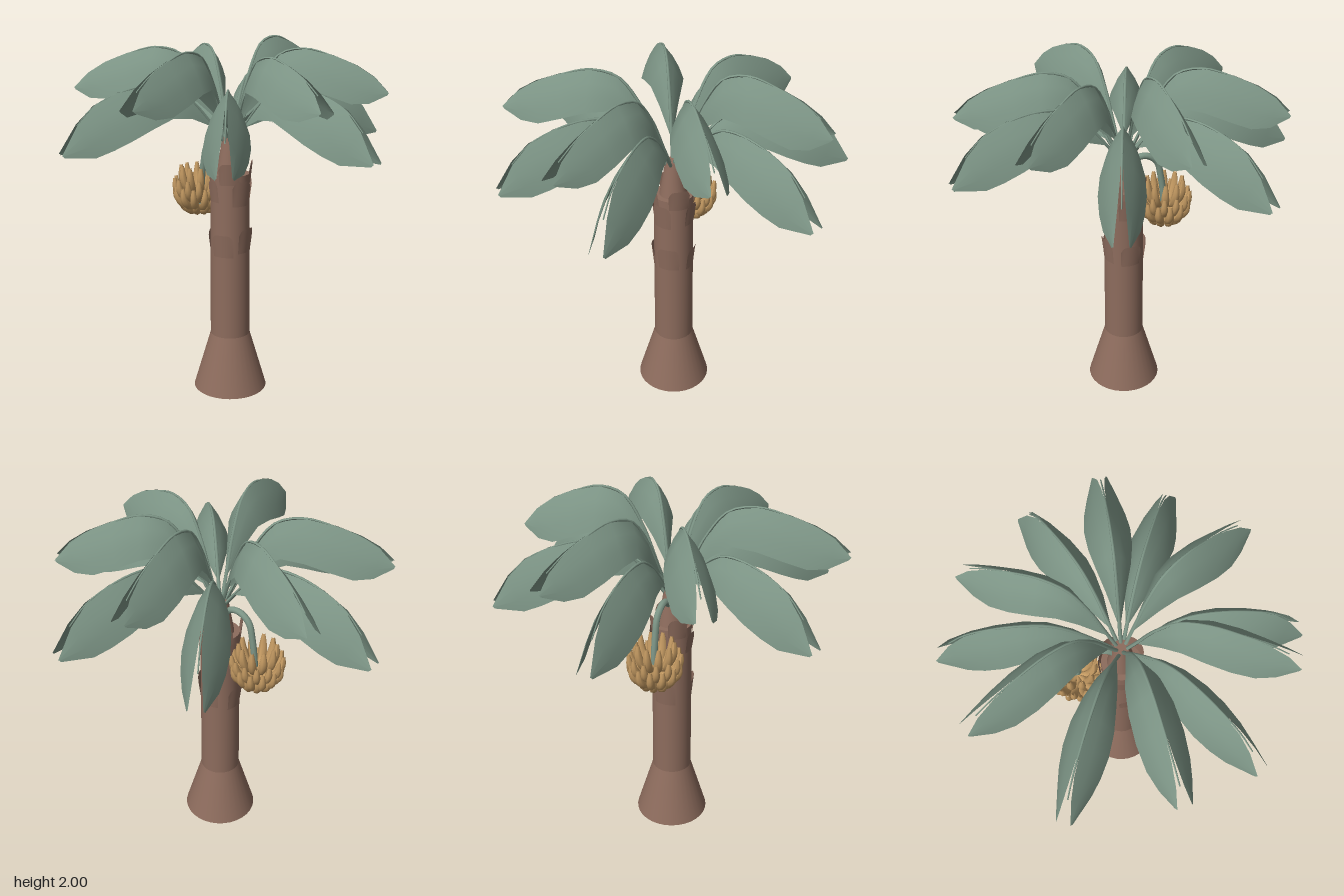
import * as THREE from 'three';

const mat = (name, color, extra = {}) => {
  const m = new THREE.MeshStandardMaterial({ color, ...extra });
  m.name = name;
  return m;
};
const V = (x, y, z = 0) => new THREE.Vector3(x, y, z);

// Tube whose radius follows a rule along its length
function taperedTube(points, radius, steps, sides, rule) {
  const curve = new THREE.CatmullRomCurve3(points);
  const geo = new THREE.TubeGeometry(curve, steps, radius, sides);
  const p = geo.attributes.position, v = V(0, 0);
  for (let i = 0; i < p.count; i++) {
    const t = Math.floor(i / (sides + 1)) / steps, c = curve.getPointAt(t);
    v.fromBufferAttribute(p, i).sub(c).multiplyScalar(rule(t)).add(c);
    p.setXYZ(i, v.x, v.y, v.z);
  }
  geo.computeVertexNormals();
  return geo;
}

// One half of a folded blade; each station: [ridgeR, ridgeY, gap, edgeR, edgeY, edgeOffset]
function bladeHalf(stations, side) {
  const pos = [], index = [];
  stations.forEach(([r, y, g, er, ey, w], i) => {
    for (let j = 0; j <= 3; j++) {
      const t = j / 3, bulge = 0.22 * t * (1 - t);
      pos.push(r + (er - r) * t, y + (ey - y) * t + bulge * w, side * (g + (w - g) * t + bulge * (y - ey)));
      if (i && j) {
        const a = (i - 1) * 4 + j - 1, b = a + 1, c = a + 4, d = c + 1;
        index.push(...(side > 0 ? [a, b, c, b, d, c] : [a, c, b, b, c, d]));
      }
    }
  });
  const geo = new THREE.BufferGeometry();
  geo.setAttribute('position', new THREE.Float32BufferAttribute(pos, 3));
  geo.setIndex(index);
  geo.computeVertexNormals();
  return geo;
}

// Heights are measured from the crown, at y = 1.42
const lowStations = [
  [0.10, 0.12, 0, 0.10, 0.11, 0.006],
  [0.22, 0.26, 0, 0.24, 0.17, 0.055],
  [0.34, 0.34, 0, 0.36, 0.18, 0.085],
  [0.48, 0.35, 0, 0.47, 0.14, 0.108],
  [0.62, 0.32, 0.003, 0.58, 0.09, 0.115],
  [0.75, 0.26, 0.008, 0.68, 0.045, 0.105],
  [0.84, 0.17, 0.018, 0.77, 0.01, 0.085],
  [0.93, 0.025, 0.035, 0.92, 0.015, 0.042],
];
const highStations = [
  [0.08, 0.16, 0, 0.08, 0.15, 0.006],
  [0.17, 0.36, 0, 0.21, 0.27, 0.05],
  [0.28, 0.50, 0, 0.31, 0.34, 0.085],
  [0.42, 0.53, 0, 0.43, 0.33, 0.108],
  [0.58, 0.49, 0.003, 0.56, 0.29, 0.115],
  [0.71, 0.44, 0.008, 0.68, 0.25, 0.105],
  [0.81, 0.38, 0.018, 0.78, 0.25, 0.08],
  [0.89, 0.30, 0.035, 0.88, 0.29, 0.042],
];

// Thin sheath plate with a rounded top, bent round the trunk
function sheathPlate(angle, width, y0, y1) {
  const geo = new THREE.PlaneGeometry(1, 1, 12, 4), p = geo.attributes.position;
  for (let i = 0; i < p.count; i++) {
    const u = p.getX(i) * 2, t = p.getY(i) + 0.5;
    const top = y1 - 0.035 * Math.pow(Math.abs(u), 5);
    const a = angle + u * width / 2, r = 0.111 + 0.013 * t;
    p.setXYZ(i, Math.sin(a) * r, y0 + (top - y0) * t, Math.cos(a) * r);
  }
  geo.computeVertexNormals();
  return geo;
}

export function createModel() {
  const model = new THREE.Group();
  const bark = mat('bark brown', 0x8d6c5d);
  const sheath = mat('sheath brown', 0x8d6c5d, { side: THREE.DoubleSide });
  const leafGreen = mat('leaf green', 0x7d9586, { side: THREE.DoubleSide });
  const fruitGold = mat('fruit gold', 0xc49a62);
  const add = (parent, name, geo, material) => {
    const m = new THREE.Mesh(geo, material);
    m.name = name;
    parent.add(m);
    return m;
  };

  // Trunk: flared foot, straight stem, narrow crown
  const cyl = (name, rt, rb, y0, y1) =>
    add(model, name, new THREE.CylinderGeometry(rt, rb, y1 - y0, 32), bark).position.y = (y0 + y1) / 2;
  cyl('trunkFoot', 0.113, 0.21, 0, 0.33);
  cyl('trunkStem', 0.108, 0.113, 0.33, 1.27);
  cyl('crownCone', 0.042, 0.08, 1.25, 1.47);

  // Sheath plates: [angle from front, angular width, bottom, top]
  [
    [0.4, 1.1, 0.81, 0.94], [1.75, 1.1, 0.83, 0.97], [3.2, 1.0, 0.82, 0.95], [4.75, 1.1, 0.80, 0.94],
    [-0.12, 0.65, 1.12, 1.24], [1.4, 1.0, 1.10, 1.24], [3.0, 0.8, 1.11, 1.24], [4.6, 0.9, 1.12, 1.25],
    [0.75, 1.0, 1.22, 1.34], [2.3, 1.0, 1.22, 1.34], [3.9, 1.0, 1.22, 1.34], [5.4, 0.9, 1.22, 1.34],
  ].forEach(s => add(model, 'sheathPlate', sheathPlate(...s), sheath));

  // Leaves: two folded halves and a midrib, in a low and a high ring
  const makeKind = stations => ({
    halves: [1, -1].map(s => bladeHalf(stations, s)),
    rib: taperedTube([V(0, -0.02), ...stations.slice(0, 7).map(s => V(s[0], s[1] - 0.006))],
      0.011, 24, 6, t => 1 - 0.7 * t),
  });
  const addLeaf = (kind, degrees, length, lift = 1) => {
    const leaf = new THREE.Group();
    leaf.name = 'leaf';
    kind.halves.forEach(h => add(leaf, 'leafBlade', h, leafGreen));
    add(leaf, 'leafMidrib', kind.rib, leafGreen);
    leaf.position.y = 1.42;
    leaf.rotation.y = -degrees * Math.PI / 180;
    leaf.scale.set(length, lift, 1);
    model.add(leaf);
  };
  const low = makeKind(lowStations), high = makeKind(highStations);
  [[-4, 1], [46, 1], [110, 1], [181, 1.01], [238.5, 1.01], [289, 1.01]].forEach(l => addLeaf(low, ...l));
  [[14.5, 0.98, 0.95], [75, 1.02], [147.5, 0.99], [203.5, 0.96], [265, 0.93, 1.09], [321, 0.94]]
    .forEach(l => addLeaf(high, ...l));

  // Hanging fruit stalk
  const stalk = [V(-0.03, 1.38), V(-0.07, 1.425), V(-0.13, 1.432), V(-0.19, 1.39), V(-0.215, 1.3),
    V(-0.235, 1.15), V(-0.235, 1.0)];
  add(model, 'fruitStalk', taperedTube(stalk, 0.018, 28, 10, () => 1), leafGreen);

  // Fruit bunch: tiers of curved fruits pointing up
  const bunch = new THREE.Group();
  bunch.name = 'fruitBunch';
  bunch.position.set(-0.245, 0, 0.01);
  [[1.13, 0.095, 0.15, 10], [1.09, 0.13, 0.12, 13], [1.045, 0.128, 0.12, 13], [1.015, 0.098, 0.11, 10]]
    .forEach(([y, reach, rise, count], tier) => {
      const geo = taperedTube([V(0.01, y), V(reach * 0.65, y + 0.006), V(reach, y + rise * 0.45),
        V(reach * 1.08, y + rise)], 0.023, 10, 7, t => 0.25 + 0.75 * Math.sin(Math.PI * Math.min(1, t * 0.92 + 0.03)));
      for (let i = 0; i < count; i++)
        add(bunch, 'fruit', geo, fruitGold).rotation.y = (i + tier * 0.5) / count * Math.PI * 2;
    });
  model.add(bunch);
  return model;
}
